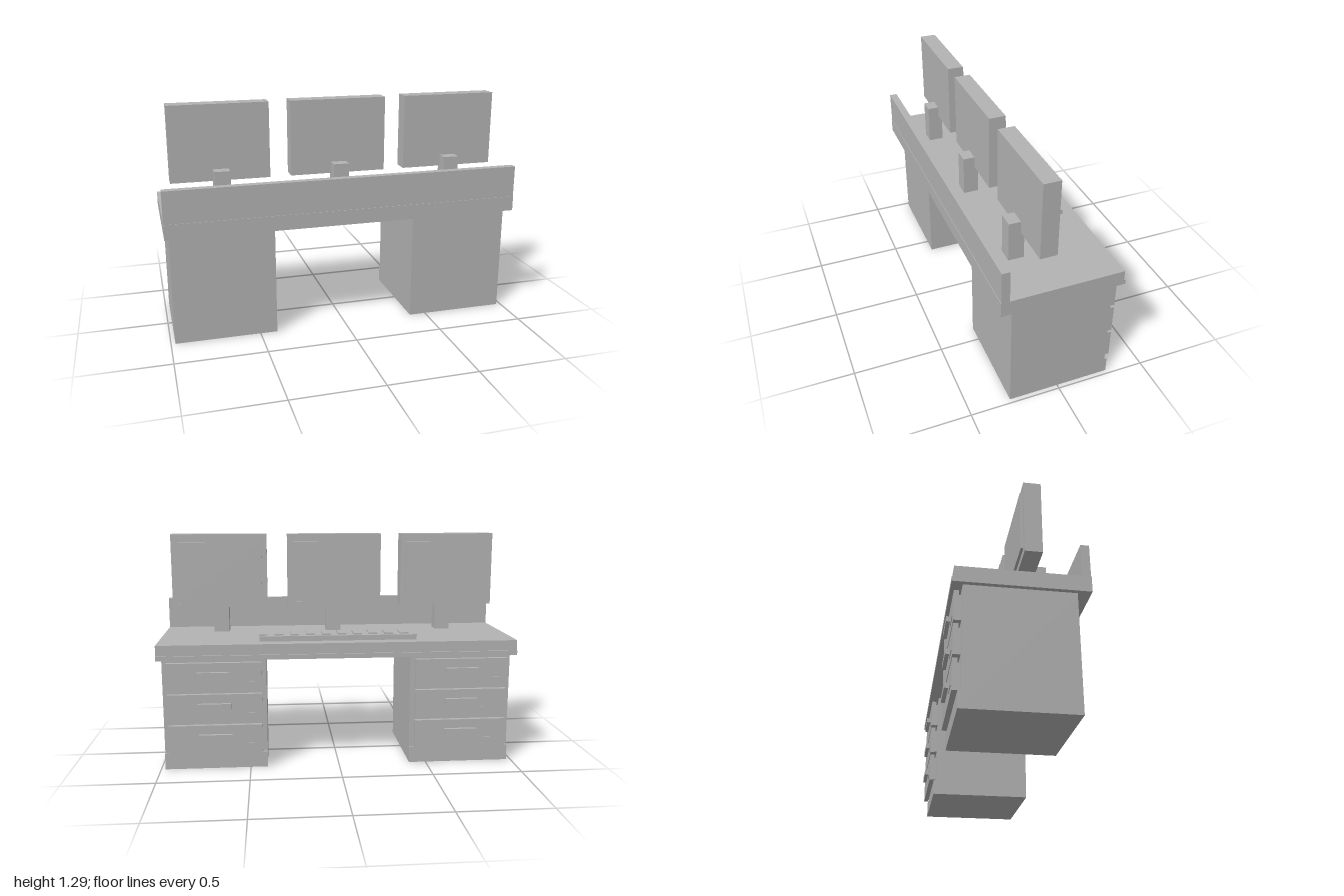
import * as THREE from 'three';

export function createModel() {
  const model = new THREE.Group();
  const grey = new THREE.MeshStandardMaterial({ color: 0xb2b2b2 });
  grey.name = 'plain grey';

  // Box given by its extents along each axis
  const box = (parent, name, [x0, x1], [y0, y1], [z0, z1]) => {
    const mesh = new THREE.Mesh(new THREE.BoxGeometry(x1 - x0, y1 - y0, z1 - z0), grey);
    mesh.position.set((x0 + x1) / 2, (y0 + y1) / 2, (z0 + z1) / 2);
    mesh.name = name;
    parent.add(mesh);
  };
  const group = (name, x = 0) => {
    const g = new THREE.Group();
    g.name = name;
    g.position.x = x;
    model.add(g);
    return g;
  };

  // Desk top with edge strip and raised screen panel
  const desk = group('desk');
  box(desk, 'deskTop', [-1, 1], [0.627, 0.711], [-0.325, 0.341]);
  box(desk, 'edgeStrip', [-1, 1], [0.627, 0.653], [-0.335, -0.325]);
  box(desk, 'privacyPanel', [-1, 1], [0.711, 0.89], [0.294, 0.338]);

  // Drawer pedestals
  for (const side of [-1, 1]) {
    const pedestal = group(side > 0 ? 'leftPedestal' : 'rightPedestal', side * 0.69);
    box(pedestal, 'cabinet', [-0.286, 0.286], [0, 0.627], [-0.28, 0.274]);
    box(pedestal, 'plinth', [-0.286, 0.286], [0, 0.089], [-0.294, -0.28]);
    for (let i = 0; i < 3; i++) {
      const y = 0.096 + i * 0.1765;
      box(pedestal, 'drawerBacking', [-0.245, 0.245], [y + 0.008, y + 0.143], [-0.294, -0.28]);
      box(pedestal, 'drawerFront', [-0.26, 0.26], [y, y + 0.16], [-0.319, -0.294]);
      box(pedestal, 'drawerHandle', [-0.0925, 0.0925], [y + 0.082, y + 0.11], [-0.339, -0.319]);
      box(pedestal, 'labelSlot', [-0.218, -0.118], [y + 0.041, y + 0.055], [-0.322, -0.319]);
    }
  }

  // Three monitors on stands
  for (const x of [-0.667, 0, 0.667]) {
    const monitor = group('monitor', x);
    box(monitor, 'monitorCase', [-0.274, 0.274], [0.87, 1.291], [0.027, 0.119]);
    box(monitor, 'screen', [-0.242, 0.242], [0.905, 1.246], [0.013, 0.027]);
    box(monitor, 'powerButton', [0.192, 0.235], [0.885, 0.897], [0.006, 0.014]);
    box(monitor, 'stand', [-0.044, 0.044], [0.711, 0.935], [0.099, 0.185]);
  }

  // Keyboard with a row of keys
  const keyboard = group('keyboard');
  box(keyboard, 'keyboardBase', [-0.443, 0.44], [0.711, 0.74], [-0.25, -0.084]);
  for (let i = 0; i < 10; i++) {
    const x = -0.377 + i * 0.0885;
    box(keyboard, 'key', [x - 0.024, x + 0.024], [0.74, 0.748], [-0.226, -0.117]);
  }

  return model;
}
